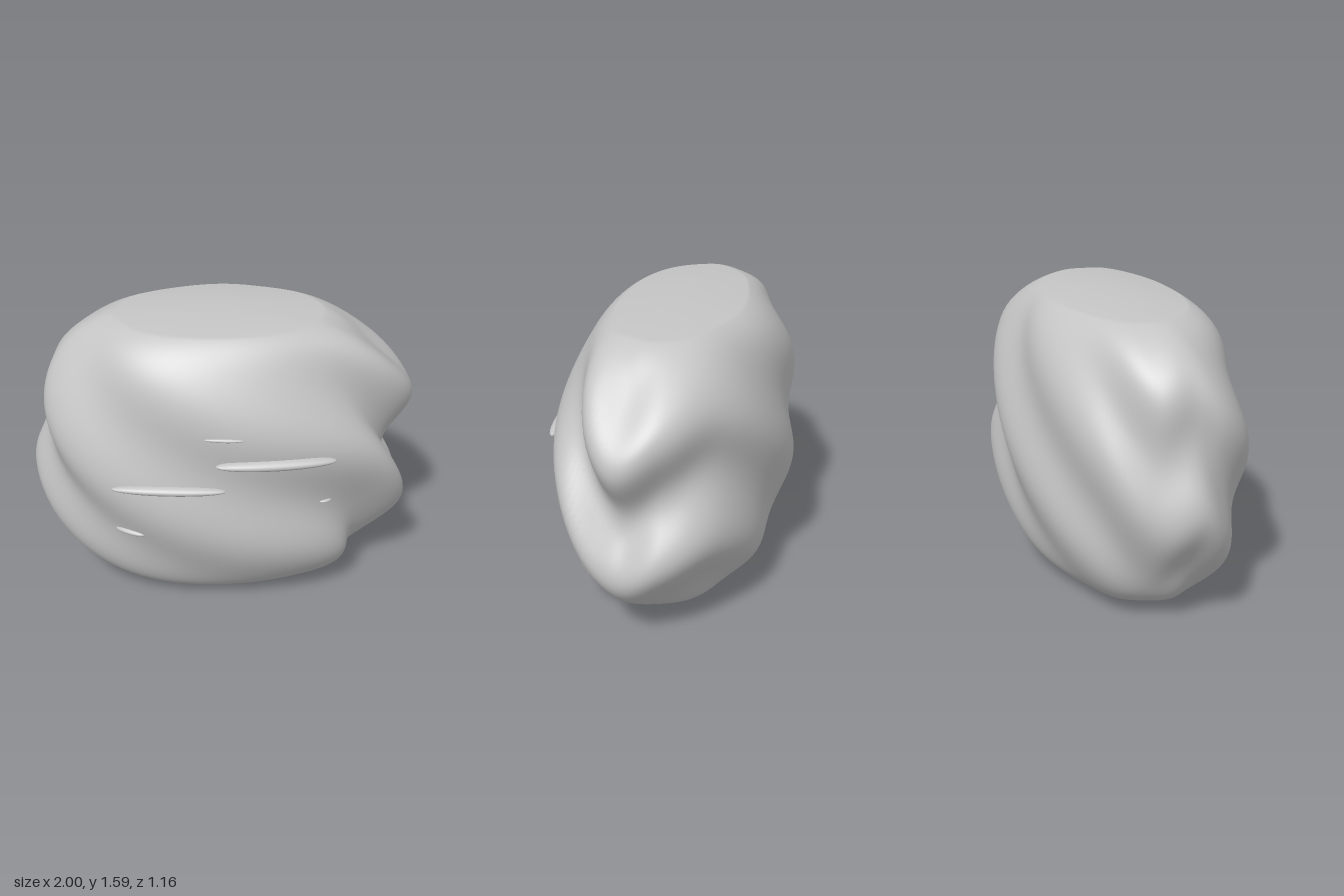
import * as THREE from 'three';

const MID = 0.795;                       // height of the widest level
const HALF = 0.795;

// Phase of the spiral waves around the body: angle in degrees, phase in radians.
// It climbs steadily but dips beside the two ends, where the ridges fold into a V.
const PHASE = [
  [-195, -11.7], [-180, -10.1], [-158, -10.5], [-130, -7.2], [-90, -2.7], [-60, 0.9], [-45, 1.8],
  [-22, 1.1], [0, 0], [12, 0.7], [42, 4.4], [90, 7], [128, 10], [165, 13.4], [180, 15], [202, 14.6],
];
const phaseCurve = new THREE.CubicInterpolant(
  PHASE.map(p => p[0] * Math.PI / 180), PHASE.map(p => p[1]), 1);

// Point on the body: a rounded oval swept by the waves, levelling out at top and bottom
function bodyPoint(theta, y) {
  const t = (y - MID) / HALF;
  const s = Math.pow(Math.max(0, 1 - t * t), 0.25);
  const c = Math.cos(theta);
  const amp = (0.05 + 0.025 * c + 0.025 * c * c) * Math.min(1, 1.6 * s - 0.6);
  const phase = phaseCurve.evaluate(theta)[0];
  const r = s * (1 + amp * Math.cos(phase - 8.5 * (y - 0.38)));
  return new THREE.Vector3(0.955 * r * c, y, 0.555 * r * Math.sin(theta));
}

// Point on the front of the body at a given x and y
function frontPoint(x, y) {
  let lo = 0, hi = Math.PI;
  for (let i = 0; i < 30; i++) {
    const m = (lo + hi) / 2;
    if (bodyPoint(m, y).x > x) lo = m; else hi = m;
  }
  return bodyPoint(lo, y);
}

function bodyGeometry() {
  const cols = 144, rows = 72, pos = [], idx = [];
  for (let j = 0; j <= rows; j++) {
    const a = Math.PI * (0.1 + 0.8 * j / rows);
    const y = MID - HALF * Math.cos(a);
    for (let i = 0; i < cols; i++) {
      const p = bodyPoint((i / cols * 2 - 1) * Math.PI, y);
      pos.push(p.x, p.y, p.z);
    }
  }
  for (let j = 0; j < rows; j++) for (let i = 0; i < cols; i++) {
    const a = j * cols + i, b = j * cols + (i + 1) % cols;
    idx.push(a, a + cols, b, b, a + cols, b + cols);
  }
  // Shallow cone caps below and above
  const bottom = pos.length / 3, top = bottom + 1, last = rows * cols;
  pos.push(0, 0, 0, 0, 2 * HALF, 0);
  for (let i = 0; i < cols; i++) {
    const n = (i + 1) % cols;
    idx.push(bottom, i, n, top, last + n, last + i);
  }
  const g = new THREE.BufferGeometry();
  g.setAttribute('position', new THREE.Float32BufferAttribute(pos, 3));
  g.setIndex(idx);
  g.computeVertexNormals();
  return g;
}

export function createModel() {
  const group = new THREE.Group();
  const stone = new THREE.MeshStandardMaterial({ color: 0xc4c4c4 });
  stone.name = 'stone grey';

  const body = new THREE.Mesh(bodyGeometry(), stone);
  body.name = 'body';
  group.add(body);

  // Thin slivers half sunk in the front: x, y, half length, half height, half depth
  const slivers = [
    [0.26, 0.965, 0.305, 0.03, 0.05],
    [-0.275, 0.81, 0.29, 0.025, 0.04],
    [-0.48, 0.505, 0.085, 0.017, 0.025],
    [0, 1.115, 0.1, 0.011, 0.015],
    [0.525, 0.66, 0.035, 0.009, 0.02],
  ];
  for (const [x, y, l, h, d] of slivers) {
    const a = frontPoint(x - l * 0.7, y), b = frontPoint(x + l * 0.7, y);
    const m = new THREE.Mesh(new THREE.SphereGeometry(1, 32, 16), stone);
    m.scale.set(l, h, d);
    m.position.set(x, y, (a.z + b.z) / 4 + frontPoint(x, y).z / 2 - 0.005);
    m.rotation.y = -Math.atan2(b.z - a.z, b.x - a.x);
    m.name = 'sliver';
    group.add(m);
  }
  return group;
}
